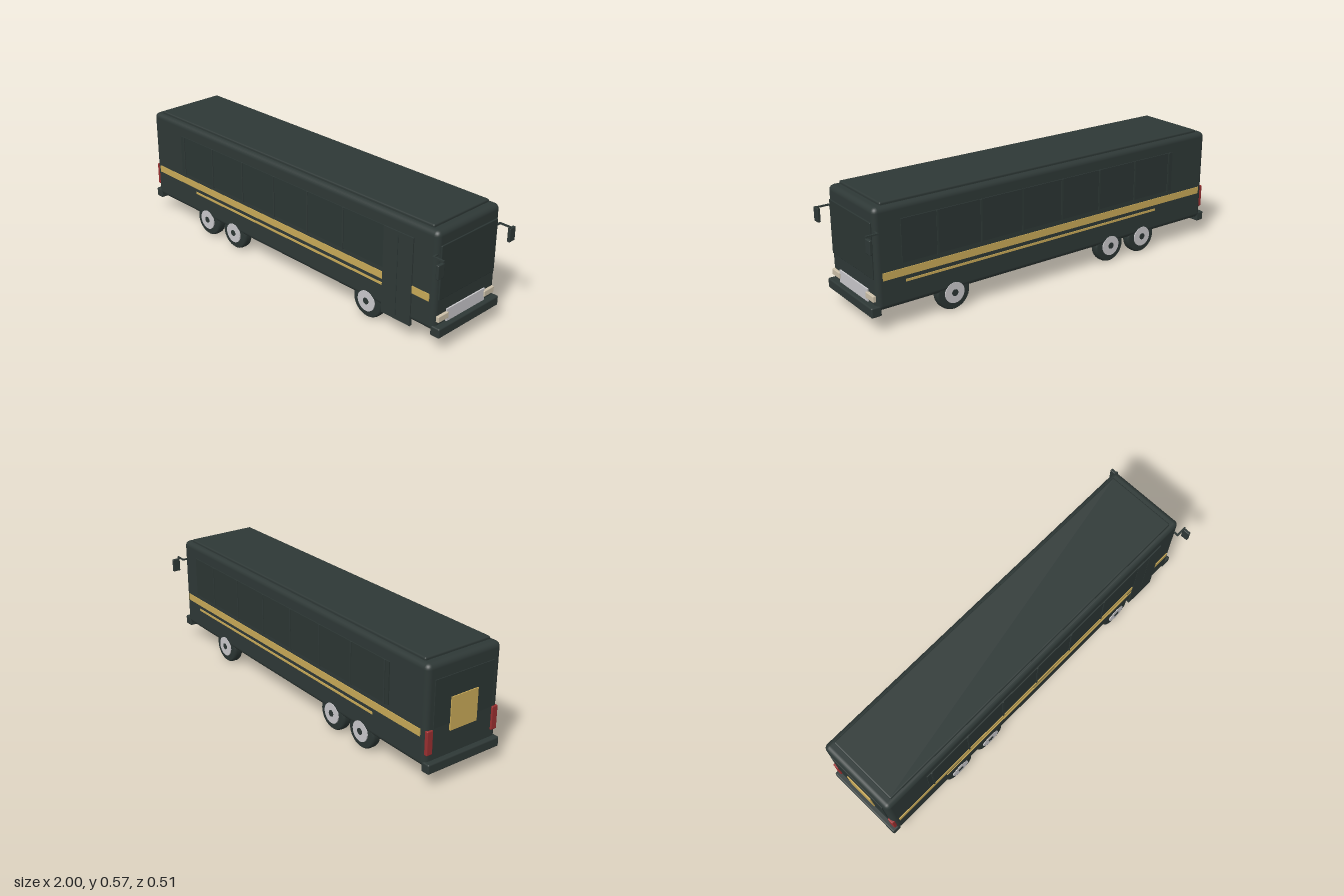
import * as THREE from 'three';
import { RoundedBoxGeometry } from 'three/addons/geometries/RoundedBoxGeometry.js';

const material = (name, color) => {
  const m = new THREE.MeshStandardMaterial({ color });
  m.name = name;
  return m;
};

export function createModel() {
  const paint = material('dark paint', 0x2e3836);
  const dark = material('dark glass and rubber', 0x2b3533);
  const gold = material('gold trim', 0xc8a957);
  const silver = material('silver metal', 0xc8c7ca);
  const lamp = material('headlight cream', 0xcbbfa8);
  const red = material('tail light red', 0x9a2f30);

  const bus = new THREE.Group();
  bus.name = 'bus';

  // Box given by its extents on each axis; a radius rounds its edges
  function box(name, mat, [x0, x1], [y0, y1], [z0, z1], radius = 0) {
    const size = [x1 - x0, y1 - y0, z1 - z0];
    const geo = radius
      ? new RoundedBoxGeometry(...size, 3, radius)
      : new THREE.BoxGeometry(...size);
    const mesh = new THREE.Mesh(geo, mat);
    mesh.name = name;
    mesh.position.set((x0 + x1) / 2, (y0 + y1) / 2, (z0 + z1) / 2);
    bus.add(mesh);
    return mesh;
  }
  // Z extents mirrored to the chosen side
  const onSide = (s, a, b) => (s > 0 ? [a, b] : [-b, -a]);

  // Shell, roof cap and bumpers
  box('body', paint, [-0.975, 0.95], [0.096, 0.562], [-0.205, 0.205], 0.025);
  box('roofCap', paint, [-0.93, 0.905], [0.55, 0.575], [-0.181, 0.181], 0.007);
  box('frontBumper', paint, [0.93, 0.98], [0.075, 0.122], [-0.203, 0.203], 0.007);
  box('rearBumper', paint, [-1.0, -0.955], [0.075, 0.122], [-0.203, 0.203], 0.007);

  // Front face
  box('windscreen', dark, [0.945, 0.956], [0.243, 0.498], [-0.185, 0.185], 0.003);
  box('grille', silver, [0.945, 0.957], [0.122, 0.181], [-0.128, 0.128]);

  // Rear face
  box('rearWindow', dark, [-0.979, -0.972], [0.27, 0.49], [-0.165, 0.165]);
  box('rearPanel', gold, [-0.984, -0.976], [0.235, 0.39], [-0.075, 0.075]);

  // Entrance door on the +z side
  box('door', paint, [0.66, 0.825], [0.073, 0.495], [0.198, 0.211]);
  box('doorSeam', dark, [0.741, 0.744], [0.09, 0.48], [0.21, 0.2125]);

  for (const s of [1, -1]) {
    // Side glazing with pillars
    const front = s > 0 ? 0.66 : 0.825;
    box('sideWindows', dark, [-0.745, front], [0.295, 0.495], onSide(s, 0.203, 0.21));
    for (let i = 0; i < (s > 0 ? 6 : 7); i++) {
      const x = -0.718 + i * 0.2275;
      box('windowPillar', paint, [x - 0.004, x + 0.004], [0.29, 0.495], onSide(s, 0.204, 0.213));
    }

    // Gold stripes, interrupted by the door
    const stripeZ = onSide(s, 0.203, 0.2085);
    const wide = s > 0 ? [[-0.945, 0.66], [0.825, 0.92]] : [[-0.945, 0.92]];
    for (const span of wide) box('wideStripe', gold, span, [0.235, 0.27], stripeZ);
    box('thinStripe', gold, [-0.64, s > 0 ? 0.66 : 0.81], [0.205, 0.216], stripeZ);

    // Lamps
    box('headlight', lamp, [0.945, 0.963], [0.139, 0.169], onSide(s, 0.121, 0.189), 0.004);
    box('tailLight', red, [-0.983, -0.965], [0.155, 0.268], onSide(s, 0.168, 0.2), 0.004);

    // Mirror on a short arm
    box('mirrorArm', paint, [0.94, 0.998], [0.455, 0.462], onSide(s, 0.217, 0.225));
    box('mirrorMount', paint, [0.938, 0.946], [0.455, 0.462], onSide(s, 0.19, 0.225));
    box('mirrorStem', paint, [0.99, 0.997], [0.44, 0.46], onSide(s, 0.217, 0.225));
    box('mirror', paint, [0.985, 1.0], [0.385, 0.452], onSide(s, 0.218, 0.257), 0.004);

    // Wheels: tyre, rim and dark hub
    for (const x of [-0.558, -0.35, 0.566]) {
      const wheel = new THREE.Group();
      wheel.name = 'wheel';
      wheel.position.set(x, 0.085, s * 0.177);
      const tyreProfile = [[0, -0.025], [0.076, -0.025], [0.083, -0.018], [0.085, -0.01],
        [0.085, 0.01], [0.083, 0.018], [0.076, 0.025], [0, 0.025]]
        .map(([r, h]) => new THREE.Vector2(r, h));
      const parts = [
        ['tyre', new THREE.LatheGeometry(tyreProfile, 32), dark],
        ['rim', new THREE.CylinderGeometry(0.05, 0.05, 0.061, 28), silver],
        ['hub', new THREE.CylinderGeometry(0.016, 0.016, 0.065, 16), dark],
      ];
      for (const [name, geo, mat] of parts) {
        const mesh = new THREE.Mesh(geo.rotateX(Math.PI / 2), mat);
        mesh.name = name;
        wheel.add(mesh);
      }
      bus.add(wheel);
    }
  }
  return bus;
}
